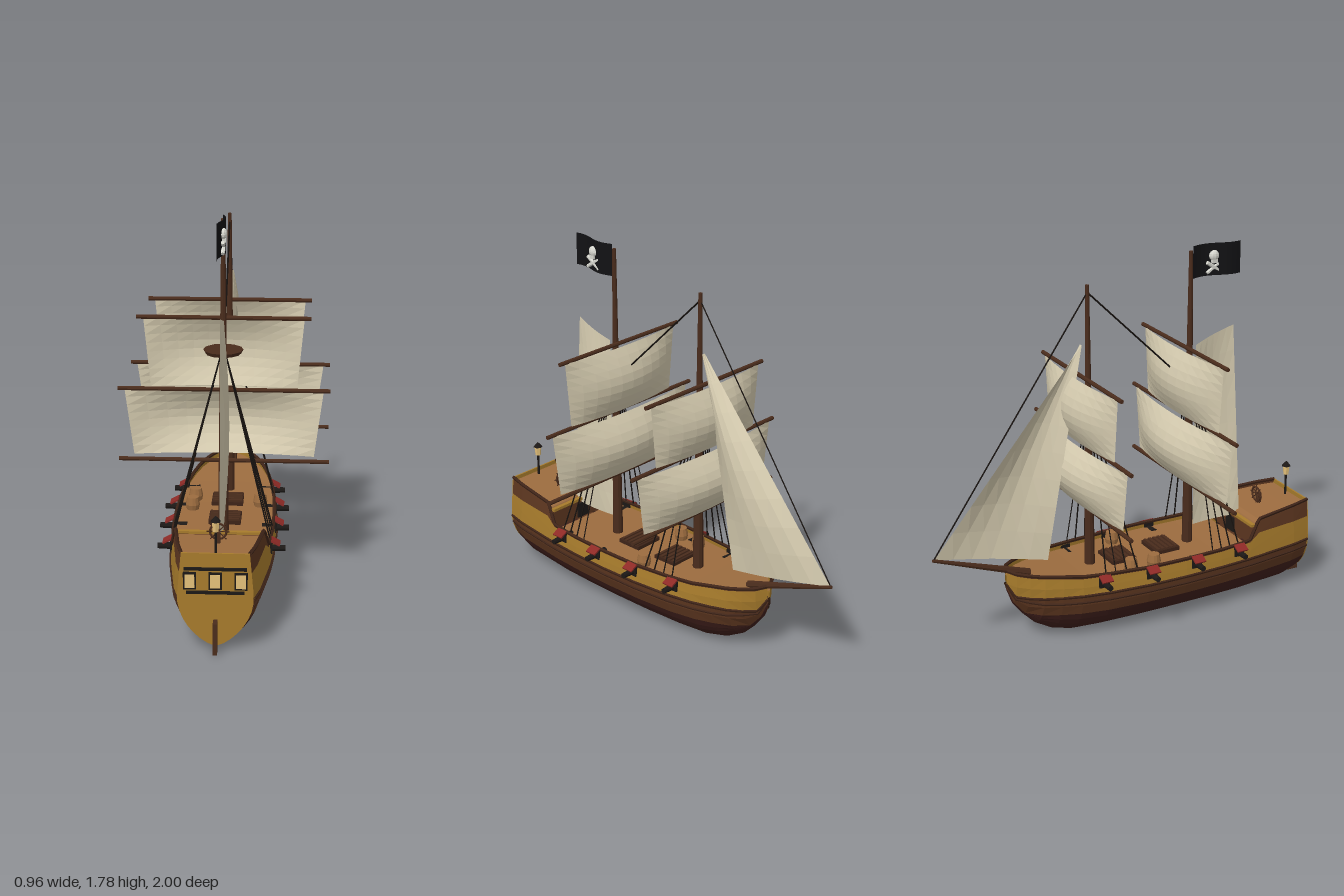
import * as THREE from 'three';

const V = (x, y, z) => new THREE.Vector3(x, y, z);
const mat = (color) => new THREE.MeshStandardMaterial({ color, flatShading: true, side: THREE.DoubleSide });
const M = {
  bottom: mat(0x3f1f1b), brown: mat(0x5e3720), yellow: mat(0xa87c2c), trim: mat(0x3e2418), deck: mat(0x9c6c3f),
  wood: mat(0x4a2c1c), dark: mat(0x1c1816), rope: mat(0x17120f), sail: mat(0xd6ccb0), red: mat(0x8e2a26),
  glow: mat(0xe6c27a), bone: mat(0xd8d8d0), flag: mat(0x121214),
};

// Hull stations, stern to bow: z, keel height, half beam, rail height, height of widest point, fullness
const ST = [
  [0.945, 0.02, 0.165, 0.45, 0.25, 0.72], [0.85, 0, 0.188, 0.445, 0.25, 0.6], [0.63, 0, 0.217, 0.43, 0.25, 0.52],
  [0.57, 0, 0.224, 0.335, 0.25, 0.5], [0.4, 0, 0.236, 0.33, 0.25, 0.5], [0.2, 0, 0.241, 0.33, 0.25, 0.5],
  [0, 0, 0.236, 0.33, 0.25, 0.5], [-0.2, 0, 0.216, 0.335, 0.25, 0.5], [-0.33, 0, 0.192, 0.34, 0.27, 0.52],
  [-0.42, 0.02, 0.165, 0.35, 0.29, 0.55], [-0.5, 0.065, 0.135, 0.355, 0.3, 0.58], [-0.56, 0.125, 0.1, 0.36, 0.32, 0.6],
  [-0.61, 0.19, 0.06, 0.365, 0.34, 0.6], [-0.64, 0.27, 0.008, 0.37, 0.36, 0.6],
];
const halfWidth = ([, k, b, , m, e], y) => {
  if (y >= m) return b * (1 - 0.55 * (y - m));
  const u = Math.max(0, (y - k) / (m - k));
  return b * Math.pow(1 - (1 - u) ** 2, e);
};
// Heights of the painted bands at a station
const levels = {
  keel: (s) => s[1],
  water: (s) => Math.max(0.14, s[1] + 0.01),
  wale: (s) => Math.max(0.24, s[1] + 0.03),
  strake: (s) => Math.min(0.36, s[3] - 0.012),
  rail: (s) => s[3],
};
function stationAt(z) {
  let i = 0;
  while (i < ST.length - 2 && ST[i + 1][0] > z) i++;
  const t = (z - ST[i][0]) / (ST[i + 1][0] - ST[i][0]);
  return ST[i].map((a, j) => a + (ST[i + 1][j] - a) * t);
}

// Grid surface: point(i, j) for i in 0..nu, j in 0..nv
function grid(nu, nv, point) {
  const pos = [], idx = [];
  for (let i = 0; i <= nu; i++) for (let j = 0; j <= nv; j++) pos.push(...point(i, j).toArray());
  for (let i = 0; i < nu; i++) for (let j = 0; j < nv; j++) {
    const a = i * (nv + 1) + j, b = a + nv + 1;
    idx.push(a, b, a + 1, b, b + 1, a + 1);
  }
  const g = new THREE.BufferGeometry();
  g.setAttribute('position', new THREE.Float32BufferAttribute(pos, 3));
  g.setIndex(idx);
  g.computeVertexNormals();
  return g;
}

export function createModel() {
  const root = new THREE.Group();
  root.name = 'sailingShip';
  const add = (name, geo, m, x = 0, y = 0, z = 0, parent = root) => {
    const mesh = new THREE.Mesh(geo, m);
    mesh.name = name;
    mesh.position.set(x, y, z);
    parent.add(mesh);
    return mesh;
  };
  const box = (name, w, h, d, m, x, y, z) => add(name, new THREE.BoxGeometry(w, h, d), m, x, y, z);
  const rod = (name, a, b, r0, r1, m, sides = 8) => {
    const dir = b.clone().sub(a), mid = a.clone().lerp(b, 0.5);
    const mesh = add(name, new THREE.CylinderGeometry(r1, r0, dir.length(), sides), m, mid.x, mid.y, mid.z);
    mesh.quaternion.setFromUnitVectors(V(0, 1, 0), dir.normalize());
    return mesh;
  };

  // Hull bands, wales and rails on both sides
  const last = ST.length - 1;
  for (const side of [1, -1]) {
    const band = (name, lo, hi, rows, m) => add(name, grid(last, rows, (i, j) => {
      const s = ST[i], t = j / rows, y = lo(s) + (hi(s) - lo(s)) * (rows > 4 ? t * t : t);
      return V(side * halfWidth(s, y), y, s[0]);
    }), m);
    band('lowerHull', levels.keel, levels.water, 7, M.bottom);
    band('middleHull', levels.water, levels.wale, 2, M.brown);
    band('upperHull', levels.wale, levels.strake, 2, M.yellow);
    band('bulwark', levels.strake, levels.rail, 1, M.brown);
    const strip = (name, level, r, m) => {
      const pts = ST.map((s) => V(side * halfWidth(s, level(s)), level(s), s[0]));
      const path = new THREE.CurvePath();
      for (let i = 0; i < last; i++) path.add(new THREE.LineCurve3(pts[i], pts[i + 1]));
      add(name, new THREE.TubeGeometry(path, 60, r, 5), m);
    };
    strip('wale', levels.wale, 0.007, M.trim);
    strip('lowerWale', (s) => levels.wale(s) - 0.035 * Math.min(1, s[2] / 0.15), 0.006, M.trim);
    strip('rail', levels.rail, 0.009, M.trim);
  }

  // Transom closing the stern
  const stern = ST[0], outline = [];
  for (let i = 0; i <= 12; i++) {
    const y = stern[1] + (stern[3] - stern[1]) * (i / 12) ** 1.4;
    outline.push(new THREE.Vector2(halfWidth(stern, y), y));
  }
  const mirrored = outline.slice(1).reverse().map((p) => new THREE.Vector2(-p.x, p.y));
  add('transom', new THREE.ExtrudeGeometry(new THREE.Shape([...outline, ...mirrored]), { depth: 0.008, bevelEnabled: false }), M.yellow, 0, 0, 0.942);
  box('sternMoulding', 0.27, 0.012, 0.014, M.dark, 0, 0.38, 0.953);
  box('sternMoulding', 0.25, 0.012, 0.014, M.dark, 0, 0.272, 0.953);
  for (const x of [-0.11, 0, 0.11]) {
    box('windowFrame', 0.056, 0.078, 0.012, M.dark, x, 0.325, 0.953);
    box('windowPane', 0.042, 0.062, 0.014, M.glow, x, 0.325, 0.955);
  }
  box('rudder', 0.018, 0.145, 0.06, M.wood, 0, 0.0725, 0.97);

  // Decks
  const deck = (name, z0, z1, drop) => add(name, grid(14, 1, (i, j) => {
    const s = stationAt(z0 + (z1 - z0) * i / 14), y = s[3] - drop;
    return V((j ? 1 : -1) * halfWidth(s, y), y, s[0]);
  }), M.deck);
  deck('mainDeck', 0.57, -0.635, 0.03);
  deck('quarterDeck', 0.943, 0.6, 0.02);
  box('cabinBulkhead', 0.41, 0.1, 0.012, M.brown, 0, 0.345, 0.6);
  box('cabinDoor', 0.07, 0.075, 0.012, M.dark, 0, 0.34, 0.592);
  box('deckEdge', 0.4, 0.014, 0.02, M.yellow, 0, 0.4, 0.595);

  // Hatches, barrels, wheel and lantern
  for (const z of [-0.05, 0.19]) {
    box('hatch', 0.15, 0.02, 0.13, M.trim, 0, 0.308, z);
    for (let i = -2; i <= 2; i++) box('hatchSlat', 0.14, 0.008, 0.014, M.wood, 0, 0.321, z + i * 0.024);
  }
  const barrel = [[0, 0], [0.027, 0], [0.034, 0.035], [0.027, 0.07], [0, 0.07]].map((p) => new THREE.Vector2(...p));
  for (const [x, z] of [[-0.155, -0.06], [-0.162, 0.06], [0.158, 0.005]])
    add('barrel', new THREE.LatheGeometry(barrel, 12), M.deck, x, 0.29, z);
  box('wheelStand', 0.02, 0.06, 0.02, M.wood, 0, 0.44, 0.755);
  add('steeringWheel', new THREE.TorusGeometry(0.036, 0.005, 6, 16), M.wood, 0, 0.465, 0.74);
  for (let i = 0; i < 4; i++) {
    const c = Math.cos(i * Math.PI / 4) * 0.05, s = Math.sin(i * Math.PI / 4) * 0.05;
    rod('wheelSpoke', V(-c, 0.465 - s, 0.74), V(c, 0.465 + s, 0.74), 0.003, 0.003, M.wood, 5);
  }
  rod('lanternPost', V(0, 0.42, 0.915), V(0, 0.54, 0.915), 0.006, 0.006, M.dark, 6);
  add('lantern', new THREE.CylinderGeometry(0.018, 0.014, 0.045, 6), M.glow, 0, 0.56, 0.915);
  add('lanternRoof', new THREE.ConeGeometry(0.024, 0.026, 6), M.dark, 0, 0.595, 0.915);

  // Cannons with gun ports and lids
  for (const z of [0.5, 0.255, 0.01, -0.23]) for (const side of [1, -1]) {
    const w = halfWidth(stationAt(z), 0.29);
    box('gunPort', 0.014, 0.05, 0.052, M.dark, side * w, 0.298, z);
    rod('cannon', V(side * (w - 0.06), 0.292, z), V(side * (w + 0.065), 0.292, z), 0.018, 0.013, M.dark, 10);
    box('portLid', 0.045, 0.008, 0.058, M.red, side * (w + 0.02), 0.324, z).rotation.z = -side * 0.5;
  }

  // Masts with tops, yards, square sails and shrouds
  const masts = [
    { name: 'mainMast', z: 0.34, top: 1.765, nest: 1.165, yardZ: 0.308, yards: [1.31, 0.975, 0.638], dz: [0.01, 0.06, 0.11, 0.16] },
    { name: 'foreMast', z: -0.2, top: 1.68, nest: 1.125, yardZ: -0.237, yards: [1.255, 0.937, 0.622], dz: [-0.02, 0.03, 0.085, 0.14] },
  ];
  for (const m of masts) {
    rod(m.name, V(0, 0.28, m.z), V(0, m.top, m.z), 0.026, 0.009, M.wood, 10);
    add('mastTop', new THREE.CylinderGeometry(0.09, 0.08, 0.018, 12), M.wood, 0, m.nest, m.z);
    m.yards.forEach((y, i) => {
      const half = i ? 0.48 : 0.39;
      rod('yard', V(-half, y, m.yardZ), V(half, y, m.yardZ), 0.01, 0.01, M.wood);
    });
    for (const i of [0, 1]) {
      const y0 = m.yards[i] - 0.004, y1 = m.yards[i + 1] + (i ? 0.022 : 0.01);
      const w0 = i ? 0.45 : 0.36, w1 = i ? 0.41 : 0.33, belly = i ? 0.105 : 0.085;
      add('squareSail', grid(10, 8, (a, b) => {
        const u = a / 5 - 1, t = b / 8;
        const push = belly * (1 - u * u) * (0.35 + 0.65 * Math.sin(Math.PI * t));
        return V(u * (w0 + (w1 - w0) * t), y0 + (y1 - y0) * t, m.yardZ - 0.004 - push);
      }), M.sail);
    }
    for (const side of [1, -1]) for (const d of m.dz) {
      const s = stationAt(m.z + d);
      rod('shroud', V(side * 0.012, m.nest - 0.02, m.z), V(side * halfWidth(s, s[3]), s[3], s[0]), 0.0035, 0.0035, M.rope, 4);
    }
  }

  // Bowsprit and stays
  rod('bowsprit', V(0, 0.33, -0.52), V(0, 0.5, -0.998), 0.02, 0.008, M.wood);
  rod('foreStay', V(0, 1.645, -0.2), V(0, 0.505, -0.99), 0.004, 0.004, M.rope, 4);
  rod('mainStay', V(0, 1.645, -0.2), V(0, 1.12, 0.335), 0.004, 0.004, M.rope, 4);

  // Fore-and-aft sails
  const patch = (name, a, b, c, d, belly) => add(name, grid(6, 8, (i, j) => {
    const u = i / 6, t = j / 8;
    const p = a.clone().lerp(b, u).lerp(d.clone().lerp(c, u), t);
    p.x += belly * Math.sin(Math.PI * u) * (0.3 + 0.7 * Math.sin(Math.PI * t));
    return p;
  }), M.sail);
  const head = V(0, 1.4, -0.23);
  patch('jib', head, head, V(0, 0.5, -0.99), V(0, 0.37, -0.42), 0.06);
  patch('spanker', V(0, 1.305, 0.375), V(0, 1.375, 0.58), V(0, 0.38, 0.64), V(0, 0.38, 0.37), 0.035);

  // Waving flag with a skull and crossed bones
  const wave = (z) => 0.016 * Math.sin((z - 0.35) * 22);
  add('flag', grid(10, 1, (i, j) => {
    const z = 0.352 + 0.025 * i;
    return V(wave(z), j ? 1.785 : 1.63, z);
  }), M.flag);
  const x = wave(0.47);
  add('flagSkull', new THREE.SphereGeometry(0.026, 10, 8), M.bone, x, 1.725, 0.47).scale.x = 0.7;
  box('flagSkullJaw', 0.026, 0.018, 0.028, M.bone, x, 1.7, 0.47);
  for (const s of [1, -1])
    rod('flagBone', V(x, 1.695, 0.47 + s * 0.038), V(x, 1.645, 0.47 - s * 0.038), 0.009, 0.009, M.bone, 6);

  return root;
}
